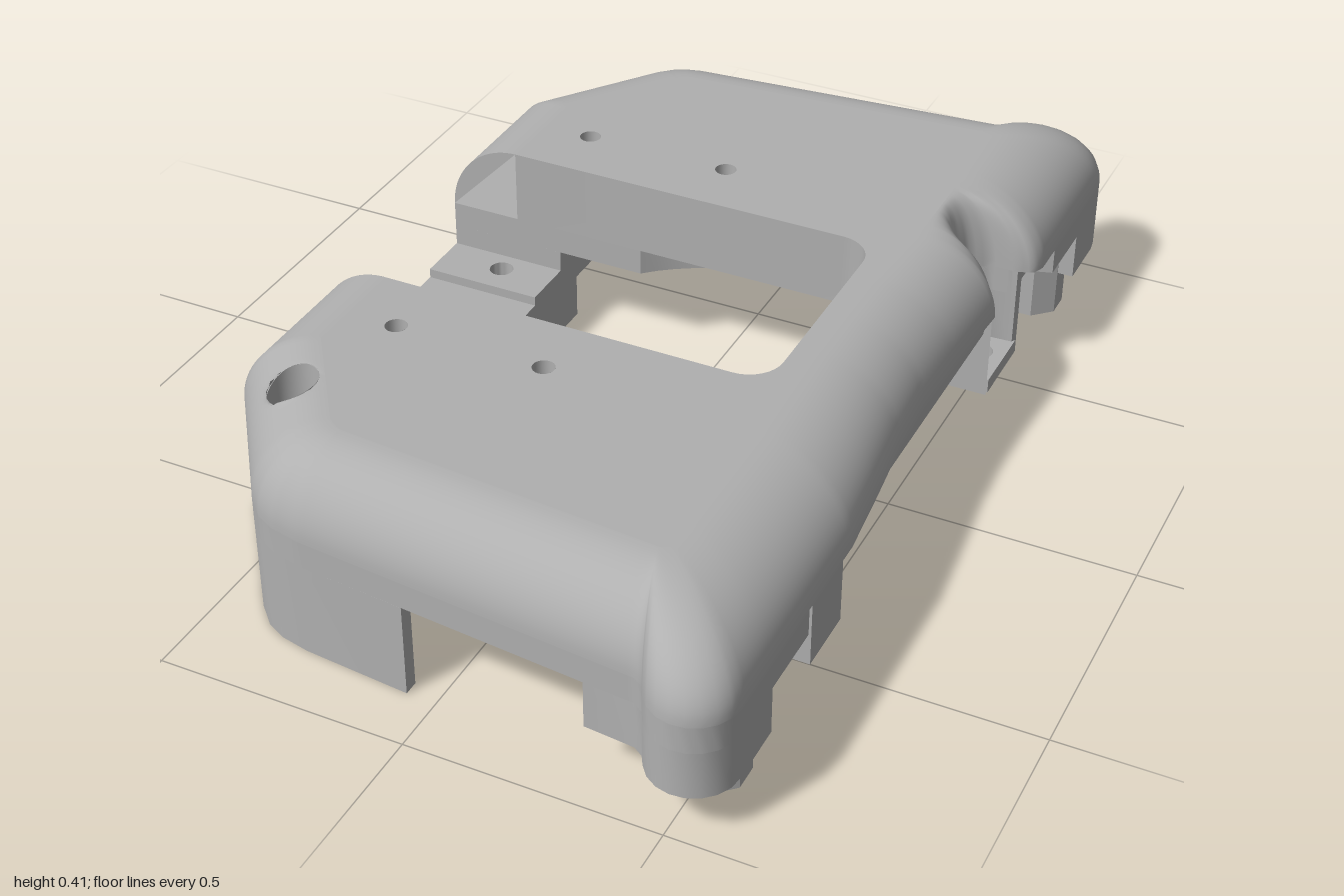
import * as THREE from 'three';
import { toCreasedNormals } from 'three/addons/utils/BufferGeometryUtils.js';

const grey = new THREE.MeshStandardMaterial({ color: 0xb0b0b0, side: THREE.DoubleSide });
grey.name = 'grey';

const TOP = 0.405, SHOULDER = 0.25, CEILING = 0.195;
const BORE = { x: -0.43, z: 0.62, r: 0.05 };

// Outline of one rounded end: [edge x, edge z, inner x, inner z]
const end = [
  [-0.6, 0.26, -0.45, 0.26], [-0.6, 0.54, -0.45, 0.49], [-0.42, 0.79, -0.298, 0.702],
  [-0.38, 0.83, -0.285, 0.712], [-0.34, 0.85, -0.275, 0.718], [-0.28, 0.863, -0.265, 0.722],
  [0.41, 0.925, 0.37, 0.772], [0.43, 0.938, 0.378, 0.773],
];
for (let i = 0; i <= 8; i++) {
  const a = (150 - i * 18.75) * Math.PI / 180;
  end.push([0.515 + 0.085 * Math.cos(a), 0.915 + 0.085 * Math.sin(a), 0.381 + i * 0.0025, 0.773 - i * 0.001]);
}
end.push([0.6, 0.8, 0.405, 0.7]);
const mirrored = end.map(([a, b, c, d]) => [a, -b, c, -d]).reverse();

// Waisted grip side with the screw notch
const side = [
  [0.6, 0.45, 0.405, 0.4], [0.585, 0.3, 0.4, 0.28], [0.567, 0.14, 0.395, 0.13], [0.56, 0, 0.395, 0],
  [0.564, -0.15, 0.395, -0.14], [0.575, -0.345, 0.41, -0.33], [0.555, -0.375, 0.41, -0.37],
  [0.5, -0.405, 0.41, -0.4], [0.465, -0.43, 0.41, -0.43], [0.453, -0.46, 0.41, -0.46],
  [0.465, -0.495, 0.41, -0.49], [0.5, -0.52, 0.41, -0.52], [0.56, -0.523, 0.41, -0.54],
  [0.59, -0.535, 0.41, -0.57], [0.6, -0.56, 0.41, -0.6],
];

function densify(list, step) {
  const out = [list[0]];
  for (let i = 1; i < list.length; i++) {
    const a = list[i - 1], b = list[i];
    const n = Math.max(1, Math.ceil(Math.hypot(b[0] - a[0], b[1] - a[1]) / step));
    for (let k = 1; k <= n; k++) out.push(a.map((v, j) => v + (b[j] - v) * k / n));
  }
  return out;
}
const rim = densify([...end, ...side, ...mirrored], 0.015);

// Path round the hand opening
const opening = [[-0.45, -0.26]];
for (const [cz, a0] of [[-0.19, -90], [0.19, 0]])
  for (let i = 0; i <= 8; i++) {
    const a = (a0 + i * 11.25) * Math.PI / 180;
    opening.push([0.28 + 0.07 * Math.cos(a), cz + 0.07 * Math.sin(a)]);
  }
opening.push([-0.45, 0.26]);

function planShape(points, holes = []) {
  const s = new THREE.Shape(points.map(([x, z]) => new THREE.Vector2(x, z)));
  for (const [x, z, r] of holes) s.holes.push(new THREE.Path().absarc(x, z, r, 0, Math.PI * 2));
  return s;
}

function plate(points, y, holes) {
  return new THREE.ShapeGeometry(planShape(points, holes), 12).rotateX(Math.PI / 2).translate(0, y, 0);
}

function slab(points, y0, y1, holes) {
  const g = new THREE.ExtrudeGeometry(planShape(points, holes), { depth: y1 - y0, bevelEnabled: false, curveSegments: 12 });
  return toCreasedNormals(g.rotateX(Math.PI / 2).translate(0, y1, 0), 0.6);
}

function grid(rows, keep = () => true) {
  const w = rows[0].length, index = [];
  for (let i = 0; i < rows.length - 1; i++)
    for (let j = 0; j < w - 1; j++) {
      const a = i * w + j, b = a + w;
      if (keep(a, b, b + 1, a + 1)) index.push(a, b, b + 1, a, b + 1, a + 1);
    }
  const g = new THREE.BufferGeometry();
  g.setAttribute('position', new THREE.Float32BufferAttribute(rows.flat(2), 3));
  g.setIndex(index);
  g.computeVertexNormals();
  return g;
}

// Rounded shoulder swept round the rim, opened up at the screw bore
function shoulderGeometry() {
  const inside = [], steps = 18;
  const rows = rim.map(([px, pz, qx, qz]) => Array.from({ length: steps + 1 }, (_, j) => {
    const t = j / steps * Math.PI / 2, c = Math.cos(t);
    let x = qx + (px - qx) * c, z = qz + (pz - qz) * c;
    const d = Math.hypot(x - BORE.x, z - BORE.z), hit = d < BORE.r;
    if (hit) {
      x = BORE.x + (x - BORE.x) * BORE.r / d;
      z = BORE.z + (z - BORE.z) * BORE.r / d;
    }
    inside.push(hit);
    return [x, SHOULDER + (TOP - SHOULDER) * Math.sin(t), z];
  }));
  return grid(rows, (...q) => !q.every(i => inside[i]));
}

// Bore wall whose upper edge follows the sloping shoulder
function boreGeometry(floor) {
  const rows = [];
  for (let i = 0; i <= 32; i++) {
    const a = i / 32 * Math.PI * 2;
    const x = BORE.x + BORE.r * Math.cos(a), z = BORE.z + BORE.r * Math.sin(a);
    const d = (x + 0.6) * 0.812 - (z - 0.54) * 0.584;
    const y = SHOULDER + (TOP - SHOULDER) * Math.sqrt(1 - Math.max(0, 1 - d / 0.15) ** 2);
    rows.push([[x, floor, z], [x, y, z]]);
  }
  return grid(rows);
}

export function createModel() {
  const model = new THREE.Group();
  model.name = 'gripCover';
  const add = (name, g) => {
    const m = new THREE.Mesh(g, grey);
    m.name = name;
    model.add(m);
    return m;
  };
  const box = (name, x0, x1, y0, y1, z0, z1) =>
    add(name, new THREE.BoxGeometry(x1 - x0, y1 - y0, Math.abs(z1 - z0))
      .translate((x0 + x1) / 2, (y0 + y1) / 2, (z0 + z1) / 2));
  const tube = (name, x, z, r, y0, y1) =>
    add(name, new THREE.CylinderGeometry(r, r, y1 - y0, 20, 1, true).translate(x, (y0 + y1) / 2, z));
  const disc = (name, x, y, z, r, inner = 0) =>
    add(name, new THREE.RingGeometry(inner, r, 24).rotateX(-Math.PI / 2).translate(x, y, z));

  // Upper shell
  const smallHoles = [];
  for (const x of [-0.345, -0.035]) for (const z of [-0.395, 0.395]) smallHoles.push([x, z, 0.022]);
  add('shoulder', shoulderGeometry());
  const inner = [...end, ...side, ...mirrored].map(p => [p[2], p[3]]);
  add('topPanel', plate([...inner, ...opening.slice(1, -1)], TOP, smallHoles));
  for (const [x, z, r] of smallHoles) {
    tube('smallHole', x, z, r, 0.37, TOP);
    disc('smallHoleFloor', x, 0.37, z, r);
  }
  add('openingWall', grid(opening.map(([x, z]) => [[x, SHOULDER, z], [x, TOP, z]])));
  model.children.at(-1).geometry = toCreasedNormals(model.children.at(-1).geometry, 0.6);
  const cheek = new THREE.Shape().moveTo(-0.45, SHOULDER);
  cheek.absellipse(-0.45, SHOULDER, 0.15, TOP - SHOULDER, Math.PI, Math.PI / 2, true);
  for (const z of [-0.26, 0.26]) add('openingCheek', new THREE.ShapeGeometry(cheek, 16).translate(0, 0, z));

  // Angled screw bore
  const through = [BORE.x, BORE.z, 0.03];
  add('boreWall', boreGeometry(0.3));
  disc('boreLedge', BORE.x, 0.3, BORE.z, BORE.r, 0.03);
  tube('boreShaft', ...through, 0, 0.3);

  // Underside with its round recess and the undercut along the grip
  const edge = rim.map(p => [p[0], p[1]]);
  add('recessCeiling', plate([...edge, ...[[-0.6, -0.26]], ...opening.slice(1, -1)].filter((p, i, l) => !i || p[0] !== l[i - 1][0] || p[1] !== l[i - 1][1]), SHOULDER, [through]));
  const recess = [];
  for (let i = 0; i <= 48; i++) {
    const a = -2.362 + i / 48 * 4.724;
    recess.push([0.1 + 0.37 * Math.cos(a), 0.37 * Math.sin(a)]);
  }
  const undercut = edge.map(([x, z]) => [Math.abs(z) < 0.63 ? Math.min(x, 0.55) : x, z]);
  add('lowerSlab', slab([...undercut, ...recess], CEILING, SHOULDER, [through]));

  for (const s of [1, -1]) {
    const flip = pts => pts.map(([x, z]) => [x, z * s]);
    // Corner wall with screw boss
    add('cornerWall', slab(flip([
      [-0.6, 0.54], [-0.42, 0.79], [-0.38, 0.83], [-0.34, 0.85], [-0.28, 0.863], [-0.06, 0.883],
      [-0.06, 0.853], [-0.25, 0.835], [-0.31, 0.8], [-0.335, 0.75], [-0.325, 0.68], [-0.325, 0.62],
      [-0.35, 0.57], [-0.42, 0.54],
    ]), 0, CEILING, [[BORE.x, BORE.z * s, 0.03]]));
    // Flange with a side hole
    const face = new THREE.Shape([[0.33, 0], [0.54, 0], [0.54, CEILING], [0.33, CEILING]]
      .map(([z, y]) => new THREE.Vector2(-z * s, y)));
    face.holes.push(new THREE.Path().absarc(-0.45 * s, 0.107, 0.038, 0, Math.PI * 2));
    add('sideFlange', new THREE.ExtrudeGeometry(face, { depth: 0.13, bevelEnabled: false })
      .rotateY(Math.PI / 2).translate(-0.6, 0, 0));
    box('flangeBacking', -0.47, -0.42, 0, CEILING, 0.33 * s, 0.54 * s);
    box('bridgeShoulder', -0.6, -0.35, 0, CEILING, 0.26 * s, 0.33 * s);
    // Raised bridge end with counterbored hole
    const foot = flip([[-0.6, 0.145], [-0.35, 0.145], [-0.35, 0.26], [-0.6, 0.26]]);
    add('bridgeEndLower', slab(foot, 0, 0.06, [[-0.465, 0.212 * s, 0.045]]));
    add('bridgeEndUpper', slab(foot, 0.06, 0.15, [[-0.465, 0.212 * s, 0.025]]));
    // Knob skirt and its foot
    const knob = end.slice(6, 17).map(p => [p[0], p[1]]);
    add('knobSkirt', slab(flip([[0.31, 0.916], ...knob, [0.6, 0.79], [0.45, 0.79], [0.43, 0.885], [0.31, 0.875]]), 0.097, CEILING));
    const foot8 = Array.from({ length: 8 }, (_, i) => {
      const a = (i + 0.5) * Math.PI / 4;
      return [0.5 + 0.073 * Math.cos(a), 0.815 + 0.07 * Math.sin(a)];
    });
    add('knobFoot', slab(flip(foot8), 0, CEILING, [[0.5, 0.815 * s, 0.03]]));
  }
  box('bridge', -0.6, -0.35, 0, 0.13, -0.145, 0.145);

  // Plain post and notched screw post
  add('post', slab([[0.44, 0.36], [0.55, 0.36], [0.55, 0.5], [0.44, 0.5]], 0, CEILING, [[0.495, 0.43, 0.02]]));
  const notch = side.slice(6, 13).map(p => [p[0], p[1]]);
  add('notchPost', slab([[0.565, -0.36], ...notch, [0.565, -0.535], [0.42, -0.535], [0.42, -0.36]], 0.05, SHOULDER));
  add('notchFloor', slab([[0.43, -0.37], [0.565, -0.37], [0.565, -0.53], [0.43, -0.53]], 0.05, 0.08, [[0.51, -0.462, 0.03]]));
  return model;
}
